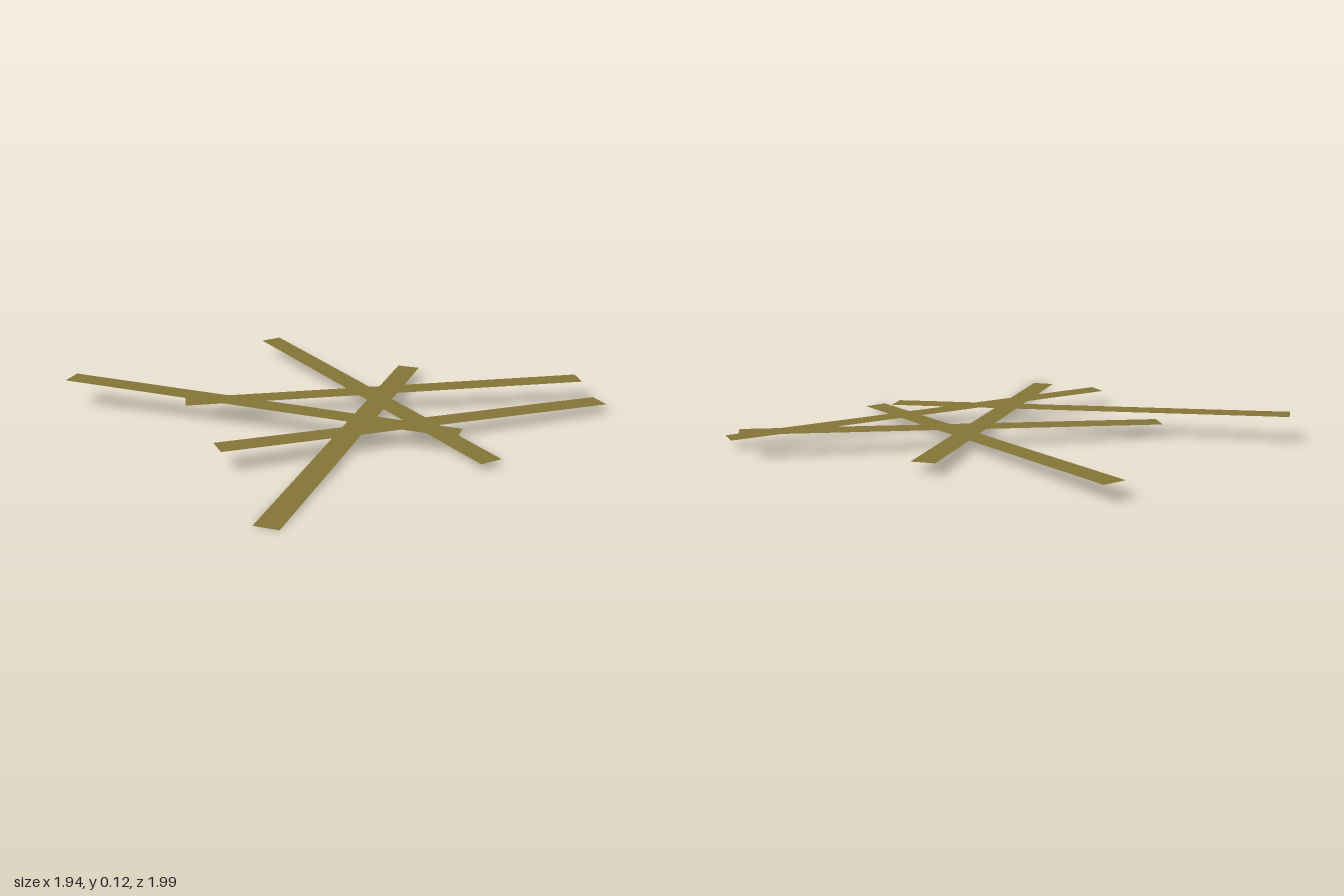
import * as THREE from 'three';

// Five thin flat strips lying across each other
const WIDTH = 0.102;

// Each strip: centre of one end, centre of the other end
const STRIPS = [
  [[-0.502, 0.115, -0.983], [0.07, 0.071, 0.703]],
  [[0.637, 0.064, -0.76], [-0.008, 0.022, 0.895]],
  [[-0.66, 0.08, 0.045], [0.865, 0.039, 0.95]],
  [[-0.96, 0.0, 0.543], [0.74, 0.044, 0.02]],
  [[-0.307, 0.055, -0.465], [0.933, 0.098, 0.81]],
];

export function createModel() {
  const model = new THREE.Group();
  model.name = 'crossedStrips';
  const olive = new THREE.MeshStandardMaterial({ color: 0x837536, side: THREE.DoubleSide });
  olive.name = 'olive';

  STRIPS.forEach(([from, to], i) => {
    const a = new THREE.Vector3(...from);
    const b = new THREE.Vector3(...to);
    const along = b.clone().sub(a);
    const length = along.length();
    along.normalize();
    // The strip stays level across its width and tilts only along its length
    const across = new THREE.Vector3(0, 1, 0).cross(along).normalize();
    const normal = along.clone().cross(across);

    const geometry = new THREE.PlaneGeometry(WIDTH, length);
    const strip = new THREE.Mesh(geometry, olive);
    strip.name = `strip${i + 1}`;
    // Plane axes: x across, y along, z facing up
    strip.quaternion.setFromRotationMatrix(
      new THREE.Matrix4().makeBasis(across.negate(), along, normal)
    );
    strip.position.copy(a).add(b).multiplyScalar(0.5);
    model.add(strip);
  });
  return model;
}
